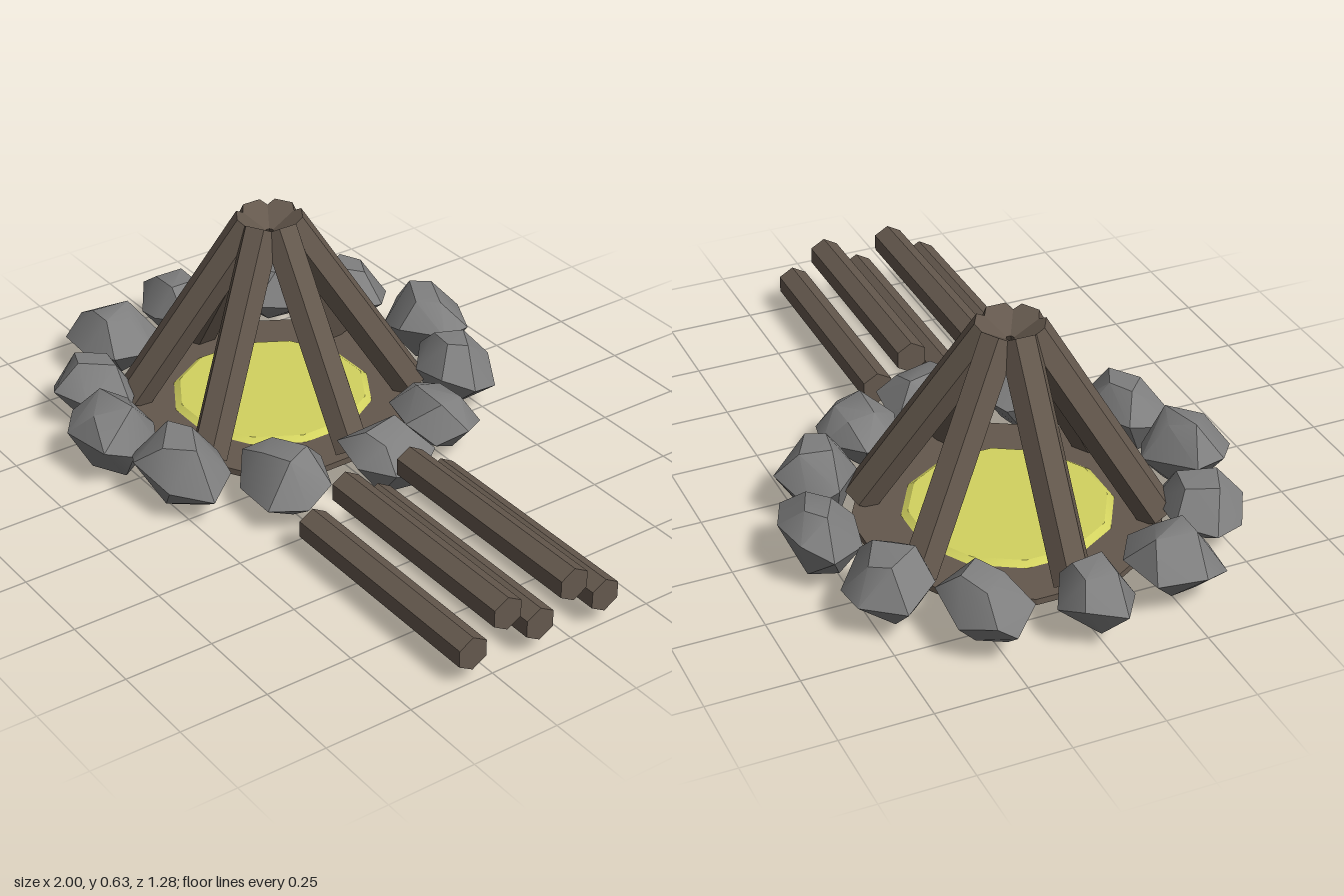
import * as THREE from 'three';
import { toCreasedNormals } from 'three/addons/utils/BufferGeometryUtils.js';
import { ConvexGeometry } from 'three/addons/geometries/ConvexGeometry.js';

const wood = new THREE.MeshStandardMaterial({ name: 'wood', color: 0x64584d });
const stone = new THREE.MeshStandardMaterial({ name: 'stone', color: 0x7f7f7f });
const ember = new THREE.MeshStandardMaterial({ name: 'ember yellow', color: 0xd2d25f });

// Ring stones: [xMin, xMax, zMin, zMax, yMin, yMax]
const STONES = [
  [-0.48, -0.21, 0.40, 0.64, 0.01, 0.22],
  [-0.74, -0.46, 0.33, 0.56, 0.02, 0.20],
  [-0.94, -0.65, 0.13, 0.37, 0.03, 0.20],
  [-1.00, -0.73, -0.11, 0.10, 0.04, 0.20],
  [-0.93, -0.64, -0.37, -0.16, 0.03, 0.21],
  [-0.75, -0.46, -0.57, -0.34, 0.03, 0.22],
  [-0.49, -0.19, -0.64, -0.43, 0.02, 0.22],
  [-0.21, 0.06, -0.56, -0.34, 0.00, 0.22],
  [-0.05, 0.24, -0.37, -0.14, 0.03, 0.19],
  [0.06, 0.315, -0.14, 0.10, 0.02, 0.20],
  [-0.04, 0.25, 0.13, 0.37, 0.01, 0.20],
  [-0.23, 0.085, 0.35, 0.57, 0.01, 0.21],
];

function seeded(seed) {
  let s = seed;
  return () => (s = (s * 16807) % 2147483647) / 2147483647;
}

function mesh(name, geometry, material) {
  const m = new THREE.Mesh(geometry, material);
  m.name = name;
  return m;
}

// Six-sided log along y
function logGeometry(radius, length, turn = 0) {
  return new THREE.CylinderGeometry(radius, radius, length, 6, 1, false, turn).toNonIndexed();
}

// Irregular faceted boulder, fitted to a box
function stoneGeometry([x0, x1, z0, z1, y0, y1], seed) {
  const rnd = seeded(seed);
  for (let i = 0; i < 5; i++) rnd();
  const points = [];
  const ring = (count, radius, y, wobble) => {
    const start = rnd() * Math.PI * 2;
    for (let i = 0; i < count; i++) {
      const a = start + ((i + (rnd() - 0.5) * 0.5) / count) * Math.PI * 2;
      const r = radius * (0.9 + rnd() * 0.2);
      points.push(new THREE.Vector3(Math.cos(a) * r, y + (rnd() - 0.5) * wobble, Math.sin(a) * r));
    }
  };
  ring(4, 0.5, 0.9, 0.3);
  ring(7, 1, 0, 0.6);
  ring(4, 0.5, -0.9, 0.3);
  const box = new THREE.Box3().setFromPoints(points);
  const size = box.getSize(new THREE.Vector3());
  for (const p of points) {
    p.sub(box.min).divide(size);
    p.set(x0 + p.x * (x1 - x0), y0 + p.y * (y1 - y0), z0 + p.z * (z1 - z0));
  }
  return toCreasedNormals(new ConvexGeometry(points), 0.6);
}

export function createModel() {
  const model = new THREE.Group();
  model.name = 'campfire';

  const fire = new THREE.Group();
  fire.name = 'firePit';
  fire.position.x = -0.34;
  model.add(fire);

  // Ground disc and glowing bed
  const disc = mesh('baseDisc', toCreasedNormals(new THREE.CylinderGeometry(0.425, 0.425, 0.018, 12, 1, false, Math.PI / 12), 0.4), wood);
  disc.position.y = 0.049;
  const bed = mesh('emberBed', toCreasedNormals(new THREE.CylinderGeometry(0.27, 0.29, 0.014, 12, 1, false, Math.PI / 12), 0.4), ember);
  bed.position.y = 0.064;
  fire.add(disc, bed);

  // Leaning logs
  const top = new THREE.Vector2(0.05, 0.604);
  const foot = new THREE.Vector2(0.395, 0.068);
  const lean = Math.atan2(foot.x - top.x, top.y - foot.y);
  const leaning = toCreasedNormals(logGeometry(0.055, top.distanceTo(foot)), 0.4);
  for (let i = 0; i < 6; i++) {
    const arm = new THREE.Group();
    arm.name = 'leaningLog';
    arm.rotation.y = (i * Math.PI) / 3;
    const log = mesh('log', leaning, wood);
    log.position.set((top.x + foot.x) / 2, (top.y + foot.y) / 2, 0);
    log.rotation.z = lean;
    arm.add(log);
    fire.add(arm);
  }

  // Stone ring
  STONES.forEach((box, i) => model.add(mesh('ringStone', stoneGeometry(box, 911 + i * 7717), stone)));

  // Spare logs: three below, two above
  const spare = toCreasedNormals(logGeometry(0.048, 0.685, Math.PI / 6), 0.4);
  for (let i = 0; i < 5; i++) {
    const log = mesh('spareLog', spare, wood);
    log.rotation.z = Math.PI / 2;
    log.position.set(0.6575, i % 2 ? 0.163 : 0.087, 0.313 - i * 0.105);
    model.add(log);
  }
  return model;
}
